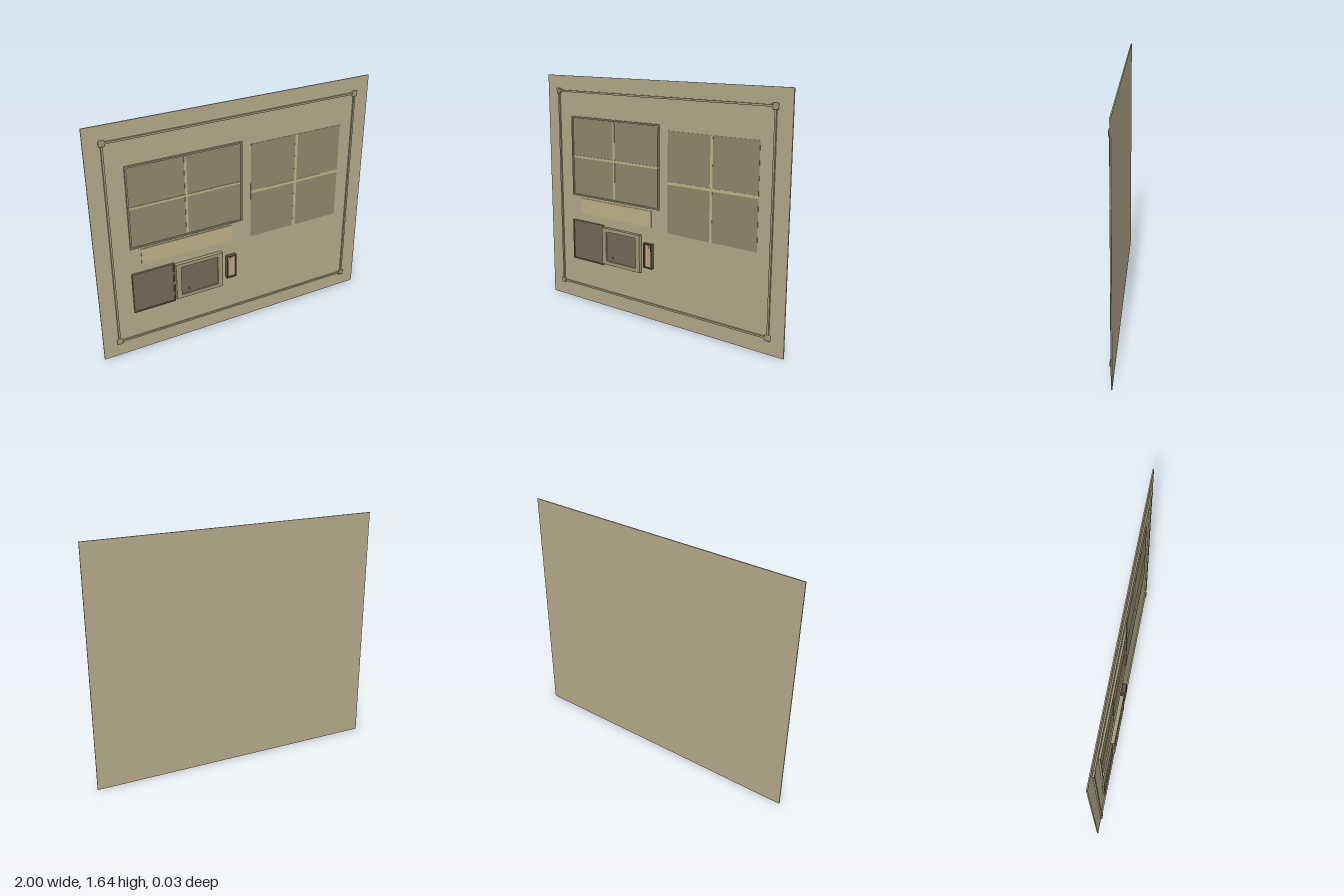
import * as THREE from 'three';
import { RoundedBoxGeometry } from 'three/addons/geometries/RoundedBoxGeometry.js';

const BACK = -0.009; // front face of the board
const mat = (color) => new THREE.MeshStandardMaterial({ color });
const wall = mat(0xb5a98c), trim = mat(0xa39878), pane = mat(0x91876c), bar = mat(0xc0b188);
const dark = mat(0x766856), rim = mat(0x5f503e), peach = mat(0xc0a584);

export function createModel() {
  const model = new THREE.Group();

  const add = (name, geometry, material, x, y, z) => {
    const mesh = new THREE.Mesh(geometry, material);
    mesh.name = name;
    mesh.position.set(x, y, z);
    model.add(mesh);
    return mesh;
  };

  // Box given by its edges in x, y and z
  const box = (name, material, x0, x1, y0, y1, z1, z0 = BACK) =>
    add(name, new THREE.BoxGeometry(x1 - x0, y1 - y0, z1 - z0), material,
      (x0 + x1) / 2, (y0 + y1) / 2, (z0 + z1) / 2);

  // Rectangular frame: extruded rectangle with a rectangular hole
  const frame = (name, material, x0, x1, y0, y1, z1, wx, wy = wx, z0 = BACK) => {
    const shape = new THREE.Shape([[x0, y0], [x1, y0], [x1, y1], [x0, y1]].map(p => new THREE.Vector2(...p)));
    shape.holes.push(new THREE.Path([[x0 + wx, y0 + wy], [x0 + wx, y1 - wy], [x1 - wx, y1 - wy], [x1 - wx, y0 + wy]]
      .map(p => new THREE.Vector2(...p))));
    const geometry = new THREE.ExtrudeGeometry(shape, { depth: z1 - z0, bevelEnabled: false });
    return add(name, geometry, material, 0, 0, z0);
  };

  // Backing board
  box('board', wall, -1, 1, 0, 1.645, BACK, -0.017);

  // Border moulding with a block on each corner
  frame('borderMoulding', trim, -0.895, 0.895, 0.105, 1.543, 0.001, 0.013);
  for (const x of [-0.888, 0.888])
    for (const y of [0.112, 1.535])
      add('borderCorner', new RoundedBoxGeometry(0.04, 0.04, 0.014, 2, 0.006), trim, x, y, -0.002);

  // Framed window with crossing bars
  box('leftPanel', pane, -0.755, 0.02, 0.8, 1.35, -0.005);
  frame('leftPanelFrame', trim, -0.765, 0.03, 0.79, 1.362, 0.004, 0.01);
  box('leftPanelPost', bar, -0.377, -0.361, 0.808, 1.344, -0.002);
  box('leftPanelRail', bar, -0.75, 0.016, 1.067, 1.083, -0.0015);

  // Unframed window: four flat panes and crossing bars
  for (const [x0, x1] of [[0.1, 0.435], [0.455, 0.79]])
    for (const [y0, y1] of [[0.642, 0.974], [0.994, 1.328]])
      box('rightPane', pane, x0, x1, y0, y1, -0.007);
  box('rightPanelPost', bar, 0.435, 0.455, 0.642, 1.328, -0.0065);
  box('rightPanelRail', bar, 0.1, 0.79, 0.974, 0.994, -0.006);

  // Label strip
  box('strip', bar, -0.695, -0.04, 0.658, 0.772, -0.004);

  // Shallow cabinet and its open door
  box('cabinetInside', dark, -0.762, -0.485, 0.318, 0.596, 0);
  frame('cabinetRim', dark, -0.77, -0.477, 0.31, 0.604, 0.006, 0.008);
  frame('doorFrame', trim, -0.47, -0.126, 0.325, 0.593, 0.017, 0.036, 0.026);
  box('doorPanel', dark, -0.434, -0.162, 0.351, 0.567, 0.009);
  add('doorStud', new THREE.SphereGeometry(0.005, 10, 8), rim, -0.377, 0.385, 0.009);
  box('doorHinge', trim, -0.48, -0.468, 0.445, 0.468, 0.009);

  // Handset holder
  frame('holderRim', rim, -0.092, -0.021, 0.372, 0.546, 0.017, 0.007);
  box('holderInset', peach, -0.085, -0.028, 0.379, 0.539, 0.006);
  const knob = add('holderKnob', new THREE.CylinderGeometry(0.01, 0.01, 0.006, 16), peach, -0.056, 0.522, 0.009);
  knob.rotation.x = Math.PI / 2;

  return model;
}
